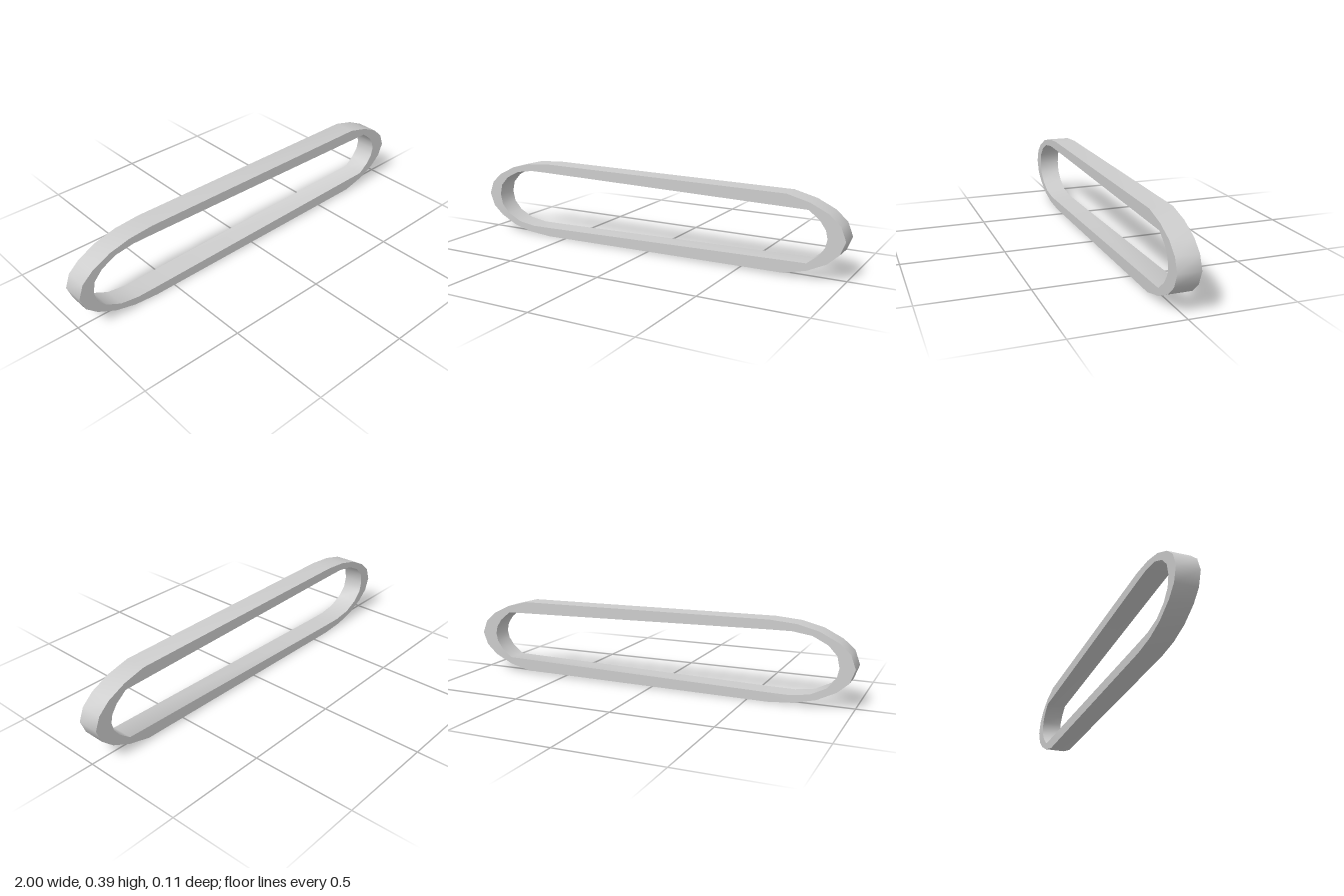
import * as THREE from 'three';
import { toCreasedNormals } from 'three/addons/utils/BufferGeometryUtils.js';

const MID = 0.196, DEPTH = 0.107;

// Upper half of each outline, left tip to right tip: [x, height above the middle]
const OUTER = [
  [-1, 0], [-0.976, 0.066], [-0.922, 0.114], [-0.83, 0.16], [-0.725, 0.186], [-0.6, 0.196],
  [0.72, 0.185], [0.83, 0.157], [0.92, 0.114], [0.975, 0.064], [1, 0],
];
const INNER = [
  [-0.928, 0], [-0.916, 0.054], [-0.874, 0.1], [-0.8, 0.137], [-0.705, 0.151], [-0.6, 0.15],
  [0.826, 0.123], [0.88, 0.08], [0.908, 0.04], [0.917, 0],
];

// Close a half outline by mirroring it about the middle height (runs clockwise)
function mirrored(half) {
  const upper = half.map(([x, h]) => new THREE.Vector2(x, MID + h));
  const lower = half.slice(1, -1).reverse().map(([x, h]) => new THREE.Vector2(x, MID - h));
  return [...upper, ...lower];
}

export function createModel() {
  const group = new THREE.Group();
  group.name = 'elongatedLink';

  // Long loop with a tapering slot; the slot runs the other way so its wall faces inward
  const shape = new THREE.Shape(mirrored(OUTER));
  shape.holes.push(new THREE.Path(mirrored(INNER).reverse()));
  const geometry = new THREE.ExtrudeGeometry(shape, { depth: DEPTH, bevelEnabled: false });
  geometry.translate(0, 0, -DEPTH / 2);

  // Smooth around the rims, sharp where they meet the flat faces
  const band = new THREE.Mesh(
    toCreasedNormals(geometry, 0.85),
    new THREE.MeshStandardMaterial({ color: 0xcccccc })
  );
  band.name = 'band';
  group.add(band);
  return group;
}
